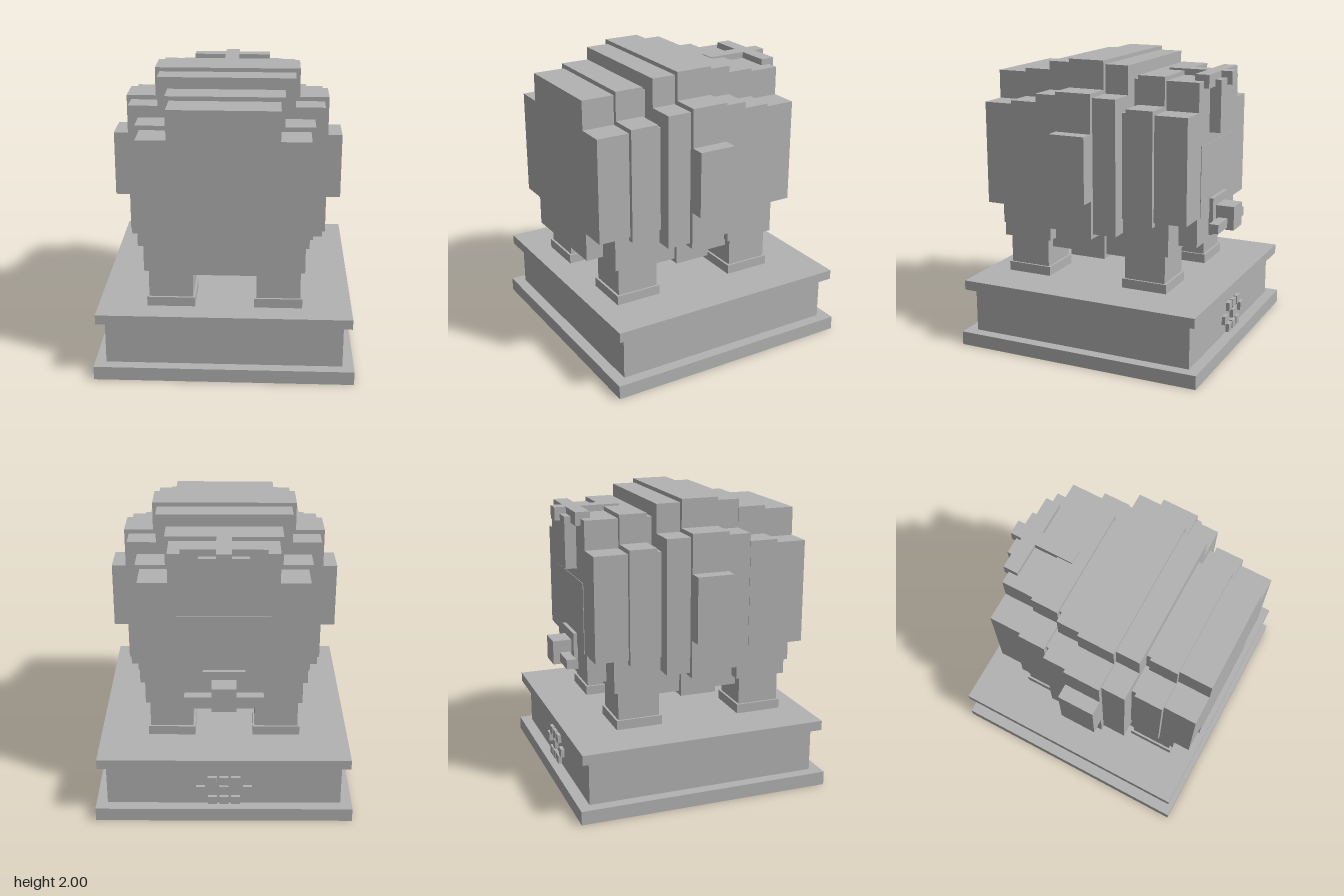
import * as THREE from 'three';

export function createModel() {
  const model = new THREE.Group();
  model.name = 'barrelOnStand';
  const grey = new THREE.MeshStandardMaterial({ color: 0xb2b2b2 });
  grey.name = 'plain grey';

  // box from its limits on each axis
  function box(name, x0, x1, y0, y1, z0, z1, parent = model) {
    const mesh = new THREE.Mesh(new THREE.BoxGeometry(x1 - x0, y1 - y0, z1 - z0), grey);
    mesh.position.set((x0 + x1) / 2, (y0 + y1) / 2, (z0 + z1) / 2);
    mesh.name = name;
    parent.add(mesh);
    return mesh;
  }

  // barrel slice: a rectangle with its four corners notched, extruded along z
  const axisY = 1.322;
  function slice(name, w, h, notchX, notchY, z0, z1) {
    const corners = [[w, notchY], [notchX, notchY], [notchX, h]];
    const shape = new THREE.Shape();
    const quadrants = [[1, 1], [-1, 1], [-1, -1], [1, -1]];
    const points = [];
    quadrants.forEach(([sx, sy]) => {
      const run = sx * sy > 0 ? corners : [...corners].reverse();
      run.forEach(([x, y]) => points.push(new THREE.Vector2(x * sx, y * sy)));
    });
    shape.setFromPoints(points);
    const geometry = new THREE.ExtrudeGeometry(shape, { depth: z1 - z0, bevelEnabled: false });
    const mesh = new THREE.Mesh(geometry, grey);
    mesh.position.set(0, axisY, z0);
    mesh.name = name;
    model.add(mesh);
  }

  // stepped plinth
  box('plinthFoot', -0.877, 0.877, 0, 0.095, -0.877, 0.877);
  box('plinthBody', -0.8, 0.8, 0.095, 0.403, -0.8, 0.8);
  box('plinthTop', -0.855, 0.855, 0.403, 0.47, -0.855, 0.855);

  // four legs, each with a foot, a post and a cap
  for (const side of [-1, 1]) {
    for (const z of [0.528, -0.357]) {
      const leg = new THREE.Group();
      leg.name = 'leg';
      leg.position.set(side * 0.361, 0, z);
      box('legFoot', -0.162, 0.162, 0.47, 0.535, -0.162, 0.162, leg);
      box('legPost', -0.148, 0.148, 0.535, 0.735, -0.146, 0.146, leg);
      box('legCap', -0.175, 0.175, 0.735, 0.965, -0.18, 0.18, leg);
      model.add(leg);
    }
  }

  // barrel core and its hoops, widest in the middle
  slice('barrelCore', 0.555, 0.555, 0.36, 0.358, -0.67, 0.83);
  slice('frontHoop', 0.585, 0.584, 0.387, 0.388, 0.41, 0.605);
  slice('backHoop', 0.585, 0.584, 0.387, 0.388, -0.44, -0.25);
  slice('bellyBand', 0.655, 0.653, 0.458, 0.458, -0.21, 0.375);
  slice('middleHoop', 0.685, 0.68, 0.488, 0.487, -0.045, 0.21);

  // side plugs
  box('rightPlug', -0.782, -0.68, 1.096, 1.545, -0.045, 0.21);
  box('leftPlug', 0.68, 0.782, 1.096, 1.545, -0.045, 0.21);

  // thin panel on the back end
  box('backPanel', -0.31, 0.31, 0.96, 1.45, -0.674, -0.668);

  // flap and cross-shaped strap at the top of the back
  box('backFlap', -0.162, 0.162, 1.52, 1.875, -0.748, -0.66);
  box('strap', -0.05, 0.05, 1.87, 1.92, -0.784, -0.33);
  box('strapTip', -0.05, 0.05, 1.83, 1.87, -0.784, -0.748);
  box('crossStrap', -0.277, 0.277, 1.87, 1.92, -0.705, -0.605);
  box('crossStrapLip', -0.277, 0.277, 1.83, 1.87, -0.705, -0.67);

  // tap
  box('tapPlate', -0.14, 0.14, 0.8, 1.06, -0.7, -0.665);
  box('tapBody', -0.082, 0.082, 0.833, 1.0, -0.83, -0.7);
  box('tapHandle', -0.262, 0.262, 0.85, 0.915, -0.784, -0.717);

  // studs on the back of the plinth
  const rows = [[0.128, 0.08], [0.209, 0.16], [0.284, 0.08]];
  for (const [y, step] of rows) {
    for (const i of [-1, 0, 1]) {
      const x = i * step;
      box('plinthStud', x - 0.031, x + 0.031, y - 0.03, y + 0.03, -0.825, -0.795);
    }
  }

  return model;
}
